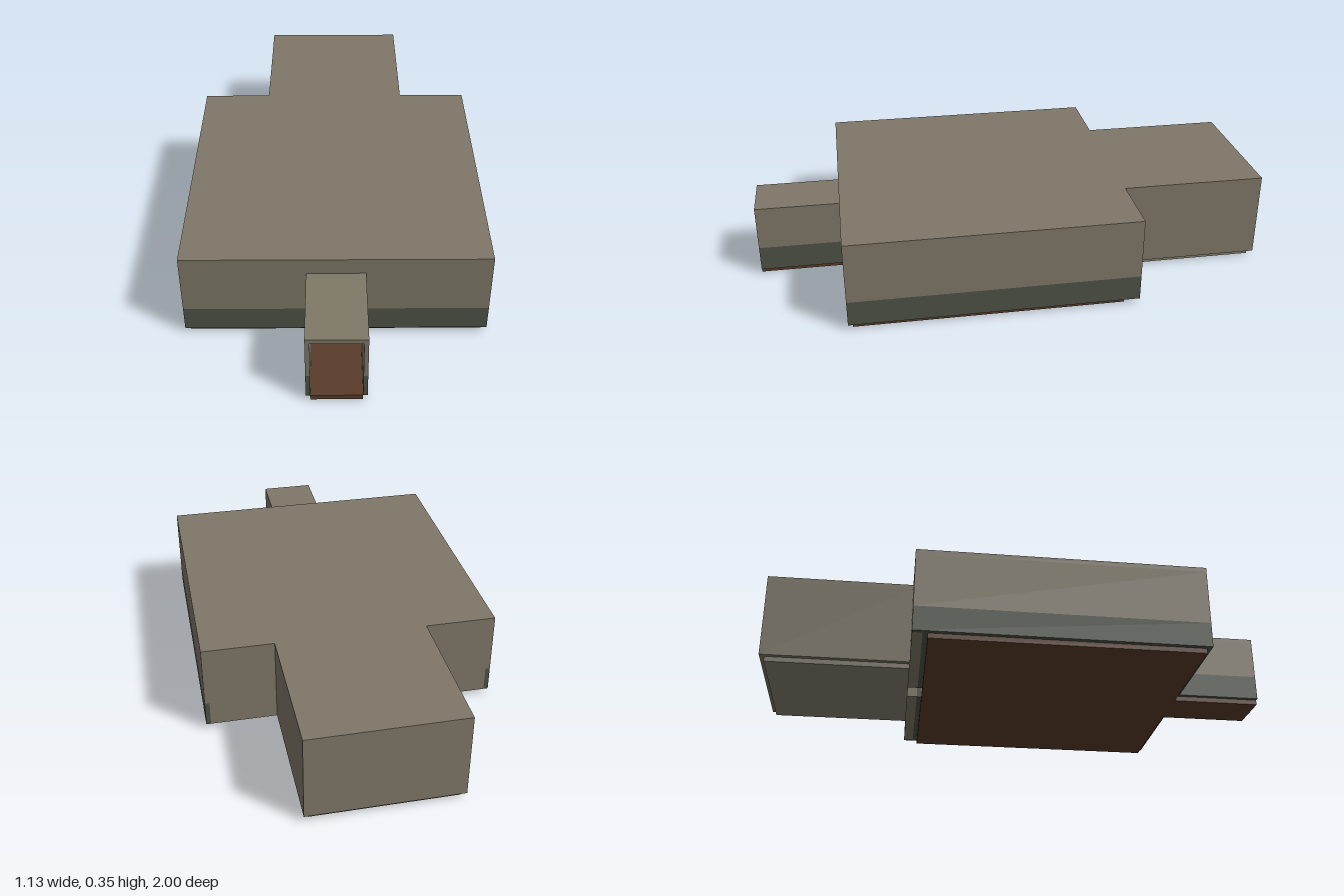
import * as THREE from 'three';

const mat = (name, color) => new THREE.MeshStandardMaterial({ name, color });

export function createModel() {
  const stone = mat('stone', 0x7f7868);
  const green = mat('dark green', 0x4d5347);
  const wood = mat('brown floor', 0x5a3c29);
  const slab = mat('stone floor', 0x857e70);
  const gold = mat('gold', 0xb07c10);

  const model = new THREE.Group();
  model.name = 'templeHall';

  const group = (name) => {
    const g = new THREE.Group();
    g.name = name;
    model.add(g);
    return g;
  };

  // Box given by its limits on each axis
  const box = (parent, name, material, [x0, x1], [y0, y1], [z0, z1]) => {
    const mesh = new THREE.Mesh(new THREE.BoxGeometry(x1 - x0, y1 - y0, z1 - z0), material);
    mesh.position.set((x0 + x1) / 2, (y0 + y1) / 2, (z0 + z1) / 2);
    mesh.name = name;
    parent.add(mesh);
  };

  const BASE = 0.02, DADO = 0.118, T = 0.018;

  // Wall with a dark lower band
  const bandedWall = (parent, name, x, top, z) => {
    box(parent, name + 'Band', green, x, [BASE, DADO], z);
    box(parent, name + 'Upper', stone, x, [DADO, top], z);
  };
  const mirrored = (a, b, fn) => { fn([a, b]); fn([-b, -a]); };

  // Main hall
  const hall = group('hall');
  const HX = 0.563, HTOP = 0.355, HZ0 = -0.437, HZ1 = 0.67, CEIL = HTOP - T;
  const DOORX = 0.092, DOORTOP = 0.272;
  box(hall, 'hallFloor', wood, [-HX + T, HX - T], [0, BASE], [-0.38, HZ1 - T]);
  box(hall, 'hallRoof', stone, [-HX, HX], [CEIL, HTOP], [HZ0, HZ1]);
  mirrored(HX - T, HX, x => bandedWall(hall, 'hallSideWall', x, CEIL, [HZ0, HZ1]));
  mirrored(DOORX, HX - T, x => bandedWall(hall, 'hallFrontWall', x, CEIL, [HZ1 - T, HZ1]));
  box(hall, 'frontLintel', stone, [-DOORX, DOORX], [DOORTOP, CEIL], [HZ1 - T, HZ1]);

  // Thick inner wall with the sanctuary doorway
  const GX = 0.046, GTOP = 0.2;
  mirrored(GX, HX - T, x => {
    bandedWall(hall, 'innerWallFace', x, CEIL, [-0.398, -0.38]);
    box(hall, 'innerWallBack', stone, x, [BASE, CEIL], [HZ0, -0.398]);
  });
  box(hall, 'innerLintel', stone, [-GX, GX], [GTOP, CEIL], [HZ0, -0.38]);

  // Nested gilded door frames
  const frames = group('doorFrames');
  const frame = (outerX, outerTop, width, z) => {
    mirrored(outerX - width, outerX, x => box(frames, 'framePost', gold, x, [BASE, outerTop], z));
    box(frames, 'frameHeader', gold, [-outerX + width, outerX - width], [outerTop - width, outerTop], z);
  };
  frame(0.072, 0.226, 0.01, [-0.38, -0.365]);
  frame(0.057, 0.211, 0.011, [-0.38, -0.372]);

  // Entrance passage
  const passage = group('entrancePassage');
  const PX = 0.108, PTOP = 0.291;
  box(passage, 'passageFloor', wood, [-DOORX, DOORX], [0, BASE], [HZ1 - T, 1]);
  mirrored(DOORX, PX, x => bandedWall(passage, 'passageWall', x, DOORTOP, [HZ1, 1]));
  box(passage, 'passageRoof', stone, [-PX, PX], [DOORTOP, PTOP], [HZ1, 1]);

  // Sanctuary at the back
  const sanctuary = group('sanctuary');
  const SX = 0.29;
  box(sanctuary, 'sanctuaryFloor', slab, [-SX + T, SX - T], [0, BASE], [-1 + T, HZ0]);
  box(sanctuary, 'sanctuaryRoof', stone, [-SX, SX], [CEIL, HTOP], [-1, HZ0]);
  mirrored(SX - T, SX, x => box(sanctuary, 'sanctuarySideWall', stone, x, [BASE, CEIL], [-1, HZ0]));
  box(sanctuary, 'sanctuaryBackWall', stone, [-SX + T, SX - T], [BASE, CEIL], [-1, -1 + T]);

  // Stepped altar
  const altar = group('altar');
  box(altar, 'altarBase', green, [-0.042, 0.042], [BASE, 0.096], [-0.82, -0.7]);
  box(altar, 'altarBlock', green, [-0.036, 0.036], [0.096, 0.14], [-0.81, -0.71]);
  box(altar, 'altarShrine', gold, [-0.023, 0.023], [0.14, 0.17], [-0.79, -0.73]);

  return model;
}
